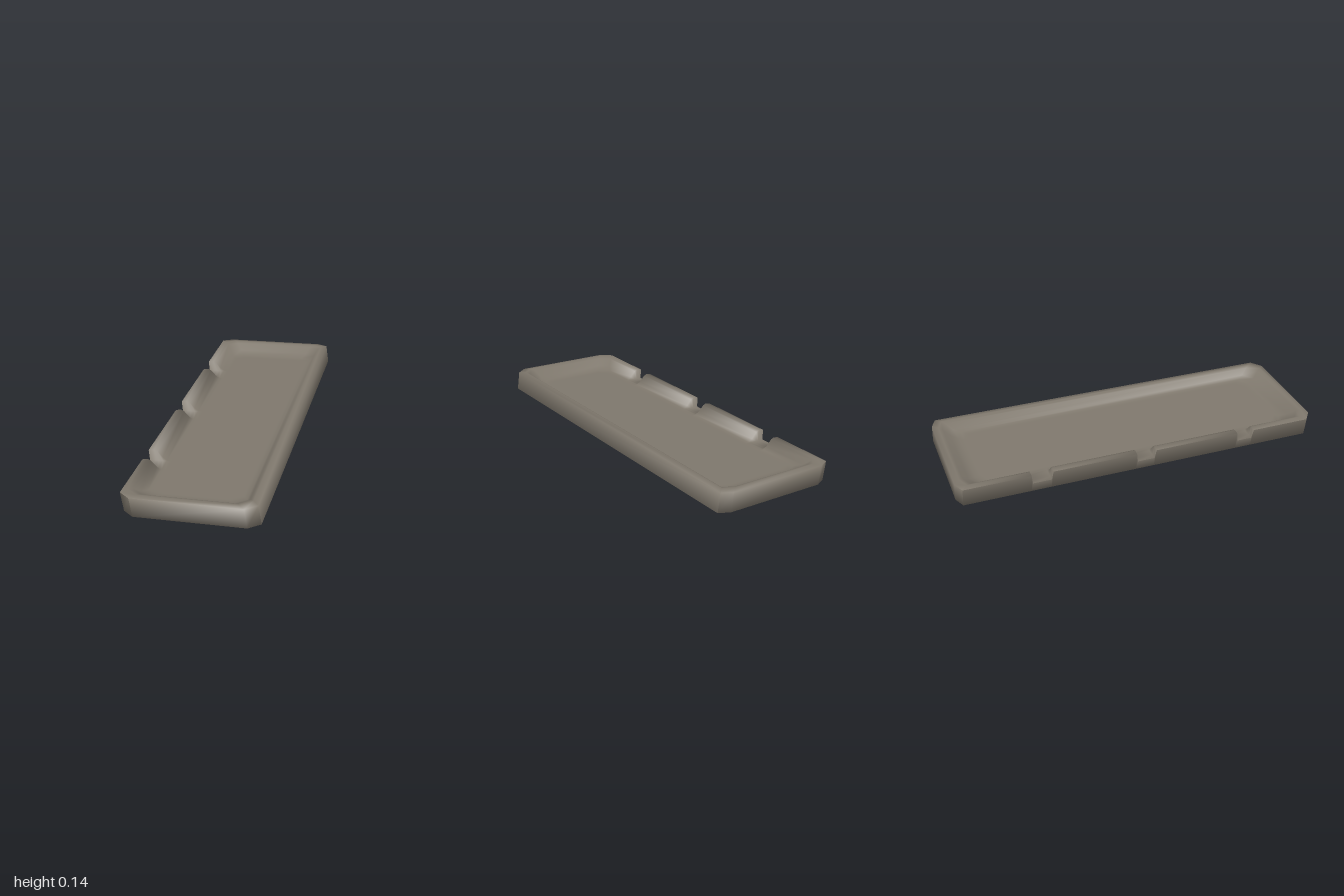
import * as THREE from 'three';
import { toCreasedNormals } from 'three/addons/utils/BufferGeometryUtils.js';

const HALF_X = 0.336, HALF_Z = 1;
const FLOOR_HEIGHT = 0.052, NOTCH_HEIGHT = 0.054;
const NOTCHES = [[-0.62, -0.505], [-0.05, 0.06], [0.53, 0.63]];

// Plan outline, counter-clockwise from above; cut marks points inside a notch
function makeOutline() {
  const pts = [];
  const addPoint = (x, z, sx, sz, cut = false) => pts.push({ x, z, sx, sz, cut });
  // One chamfer per corner, a little longer at the front
  const addCorner = (sx, sz, endFirst) => {
    const ends = [
      [sx * (HALF_X - 0.058), sz * HALF_Z],
      [sx * HALF_X, sz * HALF_Z - sz * (sz > 0 ? 0.045 : 0.027)],
    ];
    if (!endFirst) ends.reverse();
    for (const [x, z] of ends) addPoint(x, z, sx, sz);
  };
  addCorner(1, 1, true);
  addCorner(1, -1, false);
  addCorner(-1, -1, true);
  for (const [a, b] of NOTCHES) {
    addPoint(-HALF_X, a, -1, 0);
    addPoint(-HALF_X, a + 0.008, -1, 0, true);
    addPoint(-HALF_X, b - 0.008, -1, 0, true);
    addPoint(-HALF_X, b, -1, 0);
  }
  addCorner(-1, 1, false);
  return pts;
}

// Wall section as [side inset, height, end inset]: underside, wall, rim, inner slope, floor
const SECTION = [
  [0.025, 0, 0.025], [0.012, 0, 0.012], [0, 0.005, 0], [0, 0.105, 0],
  [0.03, 0.11, 0.03], [0.046, 0.102, 0.05], [0.07, 0.07, 0.085],
  [0.09, FLOOR_HEIGHT + 0.002, 0.125], [0.11, FLOOR_HEIGHT, 0.15], [0.12, FLOOR_HEIGHT, 0.16],
];

// Leans the tray sideways and raises its left side
function place(x, v, z) {
  return [x - 0.155 * (v - 0.0525), v + (x + HALF_X) * 0.041, z];
}

function trayGeometry() {
  const outline = makeOutline();
  const n = outline.length;
  const positions = [], index = [];
  for (const [insetX, height, insetZ] of SECTION) {
    for (const p of outline) {
      const v = p.cut ? Math.min(height, NOTCH_HEIGHT) : height;
      positions.push(...place(p.x - p.sx * insetX, v, p.z - p.sz * insetZ));
    }
  }
  // Walls
  const last = (SECTION.length - 1) * n;
  for (let r = 0; r < last; r += n) {
    for (let j = 0; j < n; j++) {
      const a = r + j, b = r + (j + 1) % n, c = b + n, d = a + n;
      index.push(a, b, c, a, c, d);
    }
  }
  // Underside and floor
  const under = positions.length / 3, floor = under + 1;
  positions.push(...place(0, 0, 0), ...place(0, FLOOR_HEIGHT, 0));
  for (let j = 0; j < n; j++) {
    const k = (j + 1) % n;
    index.push(under, k, j, floor, last + j, last + k);
  }
  const geo = new THREE.BufferGeometry();
  geo.setAttribute('position', new THREE.Float32BufferAttribute(positions, 3));
  geo.setIndex(index);
  return toCreasedNormals(geo, 1.5);
}

export function createModel() {
  const group = new THREE.Group();
  group.name = 'notchedTray';
  const material = new THREE.MeshStandardMaterial({ color: 0x7f786d });
  material.name = 'warm grey';
  const tray = new THREE.Mesh(trayGeometry(), material);
  tray.name = 'tray';
  group.add(tray);
  return group;
}
